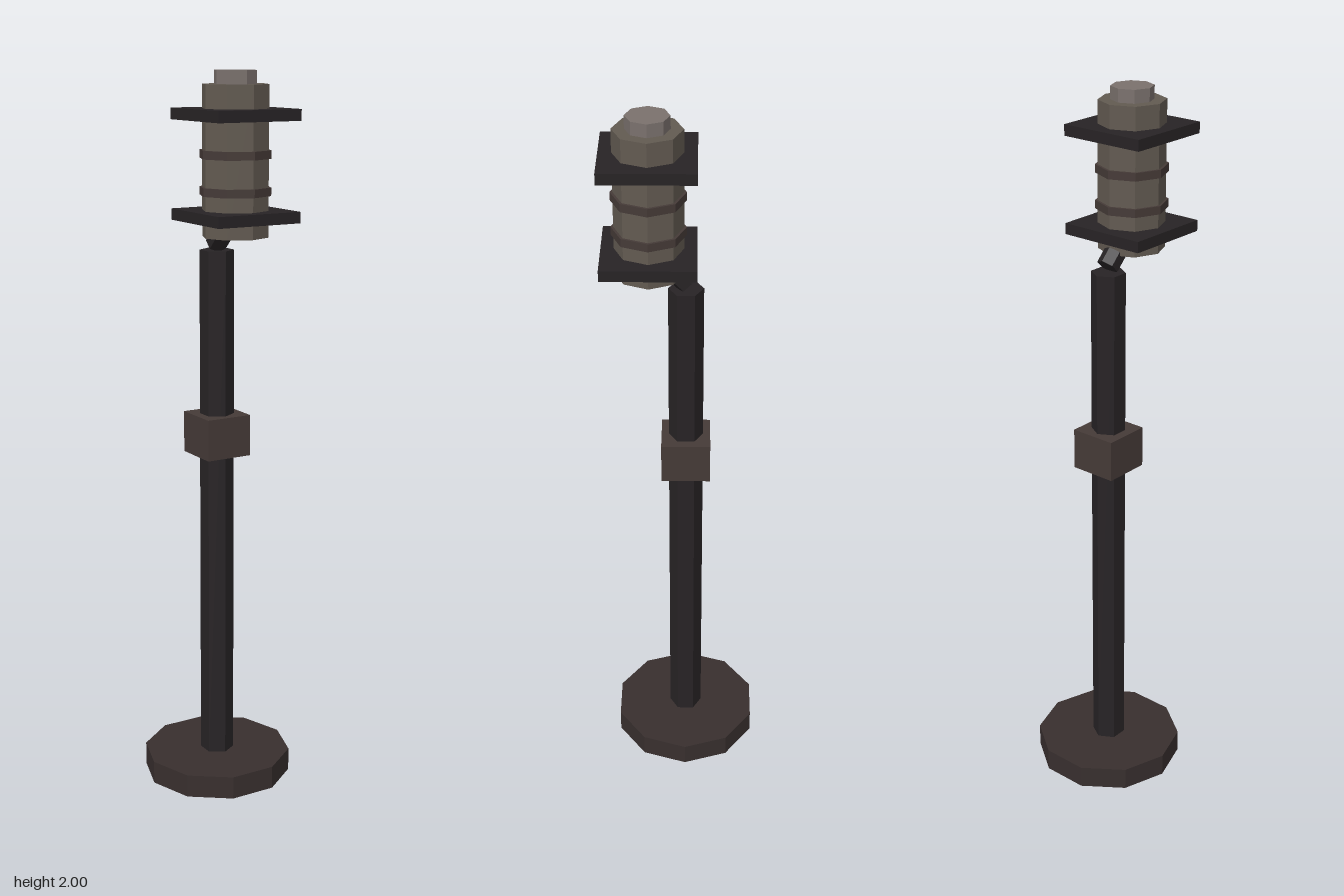
import * as THREE from 'three';

const paint = (color) => new THREE.MeshStandardMaterial({ color, flatShading: true });

export function createModel() {
  const model = new THREE.Group();
  const iron = paint(0x272325);
  const brown = paint(0x382f2e);
  const collarBrown = paint(0x453a37);
  const stone = paint(0x625a51);
  const pale = paint(0x7a716d);

  const add = (name, geometry, material, x, y, z) => {
    const mesh = new THREE.Mesh(geometry, material);
    mesh.name = name;
    mesh.position.set(x, y, z);
    model.add(mesh);
    return mesh;
  };
  // Upright prism standing between two heights
  const prism = (name, radius, sides, y0, y1, z, material) =>
    add(name, new THREE.CylinderGeometry(radius, radius, y1 - y0, sides), material, 0, (y0 + y1) / 2, z);
  const block = (name, width, y0, y1, z, material) =>
    add(name, new THREE.BoxGeometry(width, y1 - y0, width), material, 0, (y0 + y1) / 2, z);

  // Stand
  const poleZ = -0.01;
  prism('base', 0.21, 10, 0, 0.065, poleZ, brown).rotation.y = Math.PI / 2;
  prism('pole', 0.047, 6, 0.065, 1.525, poleZ, iron);
  block('collar', 0.134, 0.955, 1.07, poleZ, collarBrown);

  // Slanted arm carrying the lamp forward of the pole
  const arm = add('arm', new THREE.CylinderGeometry(0.03, 0.03, 0.13, 6), iron, 0, 1.586, 0.032);
  arm.rotation.x = Math.PI / 4;

  // Lamp
  const lampZ = 0.085;
  prism('lampBody', 0.09, 8, 1.57, 1.965, lampZ, stone);
  prism('lampCap', 0.057, 8, 1.965, 2, lampZ, pale);
  for (const y of [1.69, 1.786]) prism('lampBand', 0.097, 8, y - 0.011, y + 0.011, lampZ, collarBrown);
  for (const y of [1.625, 1.888]) block('lampPlate', 0.248, y - 0.015, y + 0.015, lampZ, iron);

  return model;
}
